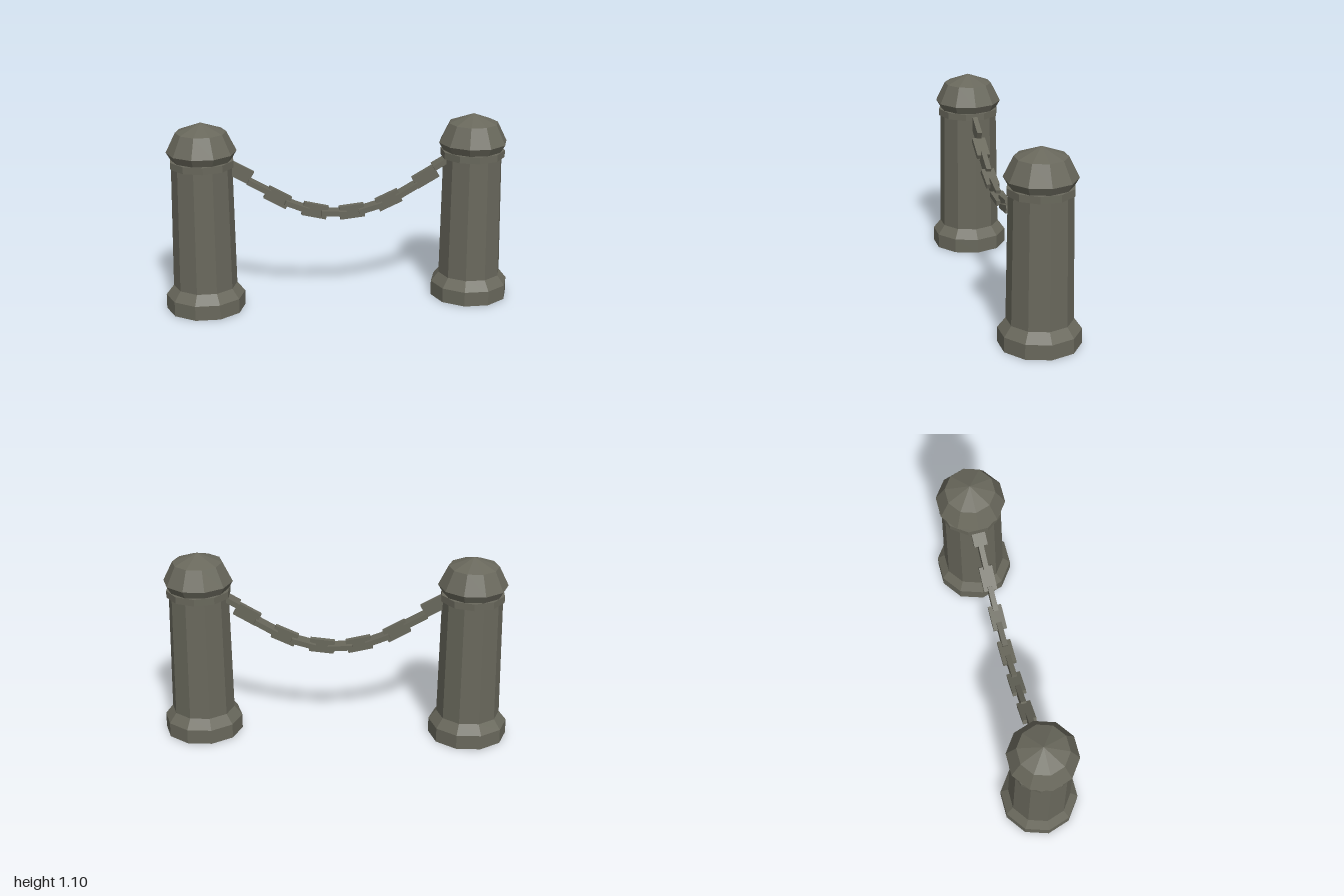
import * as THREE from 'three';

const SIDES = 10;

// Faceted turned part from [radius, height] pairs; start angle sets the corner position
function turned(name, profile, material, start) {
  const points = profile.map(([r, y]) => new THREE.Vector2(r, y));
  const mesh = new THREE.Mesh(new THREE.LatheGeometry(points, SIDES, start), material);
  mesh.name = name;
  return mesh;
}

function createPost(name, x, stone) {
  const post = new THREE.Group();
  post.name = name;
  post.position.x = x;
  const corner = Math.PI / 2; // a corner on the x axis

  // Foot with sloped shoulder
  post.add(turned('foot', [[0, 0], [0.226, 0], [0.226, 0.085], [0.182, 0.14]], stone, corner));
  // Slightly tapered shaft
  post.add(turned('shaft', [[0.182, 0.14], [0.171, 0.86]], stone, corner));
  // Collar, turned half a side
  post.add(turned('collar', [[0, 0.846], [0.184, 0.846], [0.184, 0.886], [0, 0.886]], stone, 0));
  // Domed cap
  post.add(turned('cap', [[0, 0.875], [0.165, 0.875], [0.197, 0.93], [0.142, 1.042], [0, 1.096]], stone, corner));
  return post;
}

export function createModel() {
  const model = new THREE.Group();
  model.name = 'chainBarrier';
  const stone = new THREE.MeshStandardMaterial({ color: 0x69685c, flatShading: true });
  stone.name = 'darkStone';

  model.add(createPost('leftPost', 0.774, stone), createPost('rightPost', -0.774, stone));

  // Sagging chain of overlapping plate links, every second one lying flat
  const chain = new THREE.Group();
  chain.name = 'chain';
  const linkGeometry = new THREE.BoxGeometry(0.143, 0.078, 0.03);
  for (let i = 0; i < 12; i++) {
    const x = -0.564 + 0.1065 * i;
    const dx = x - 0.01;
    const link = new THREE.Group();
    link.name = 'chainLink';
    link.position.set(x, 0.538 + 0.8 * dx * dx, 0);
    link.rotation.z = THREE.MathUtils.clamp(Math.atan(1.6 * dx), -0.52, 0.52);
    const plate = new THREE.Mesh(linkGeometry, stone);
    plate.name = 'linkPlate';
    plate.rotation.x = i % 2 ? Math.PI / 2 : 0;
    link.add(plate);
    chain.add(link);
  }
  model.add(chain);
  return model;
}
